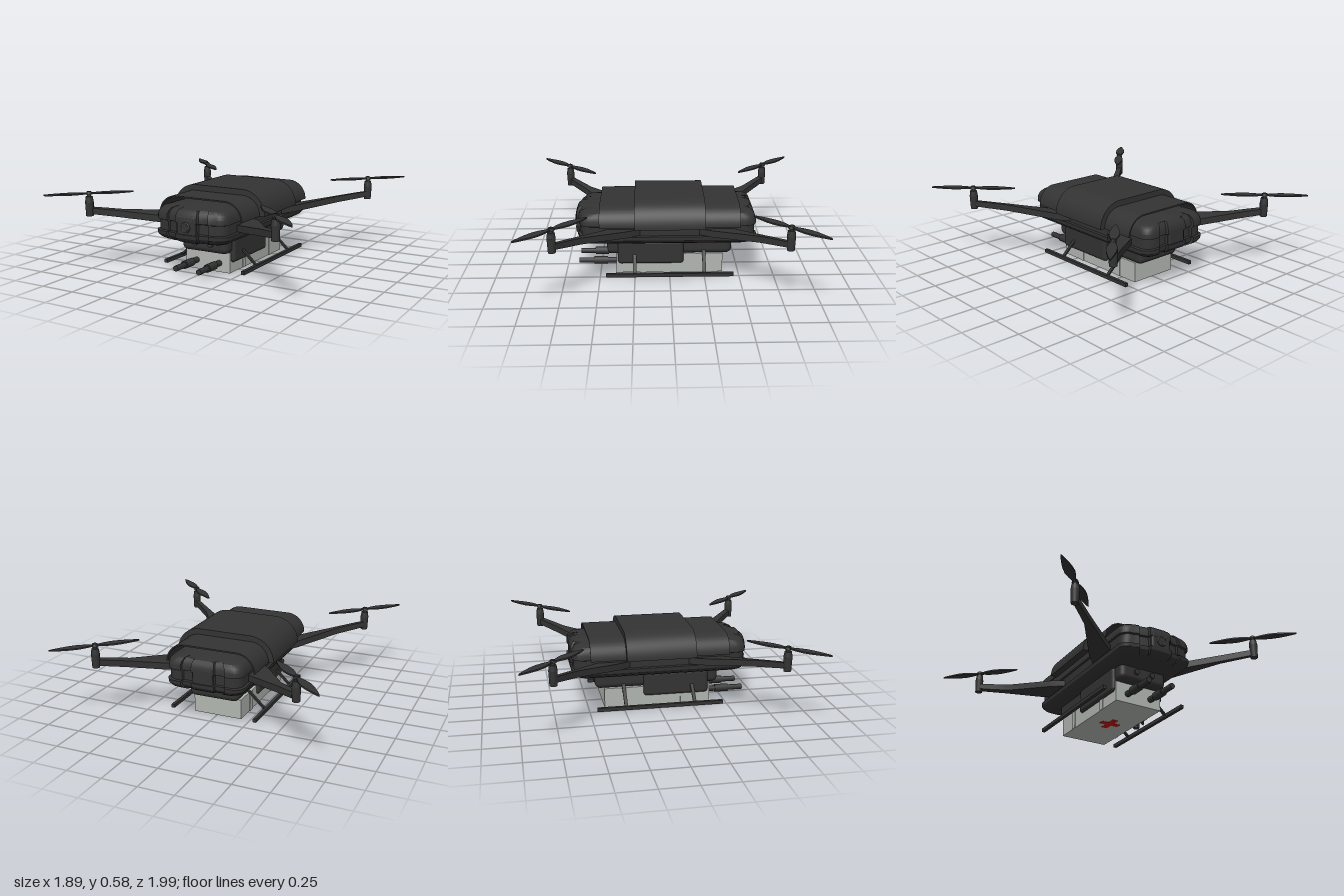
import * as THREE from 'three';
import { toCreasedNormals } from 'three/addons/utils/BufferGeometryUtils.js';
import { RoundedBoxGeometry } from 'three/addons/geometries/RoundedBoxGeometry.js';

// Skin a list of closed rings (arrays of Vector3) and cap both ends
function loft(rings, flip = false, crease = 0.5) {
  const pos = [];
  const tri = (a, b, c) => (flip ? [a, c, b] : [a, b, c]).forEach((p) => pos.push(p.x, p.y, p.z));
  const n = rings[0].length, last = rings[rings.length - 1];
  const centre = (r) => r.reduce((s, p) => s.add(p), new THREE.Vector3()).divideScalar(n);
  const c0 = centre(rings[0]), c1 = centre(last);
  for (let j = 0; j < n; j++) {
    const k = (j + 1) % n;
    for (let i = 0; i + 1 < rings.length; i++) {
      const a = rings[i], b = rings[i + 1];
      tri(a[j], a[k], b[k]);
      tri(a[j], b[k], b[j]);
    }
    tri(c0, rings[0][k], rings[0][j]);
    tri(c1, last[j], last[k]);
  }
  const g = new THREE.BufferGeometry();
  g.setAttribute('position', new THREE.Float32BufferAttribute(pos, 3));
  g.computeVertexNormals();
  return toCreasedNormals(g, crease);
}

// Quarter of the hull plan, from the centre line out to the side, with one groove
function planQuarter(zEnd, bulge) {
  const z = (x) => zEnd - bulge * x * x;
  const pts = [[0.05, z(0.05)], [0.085, z(0.085)], [0.09, z(0.09) - 0.018],
    [0.16, z(0.16) - 0.018], [0.165, z(0.165)]];
  const r = 0.075, cx = 0.285 - r, cz = z(cx) - r;
  for (let i = 0; i <= 5; i++) {
    const a = (i / 5) * Math.PI / 2;
    pts.push([cx + r * Math.sin(a), cz + r * Math.cos(a)]);
  }
  return pts;
}

function hullGeometry() {
  const front = planQuarter(0.68, 0.9), rear = planQuarter(0.618, 0).map(([x, z]) => [x, -z]);
  const right = [...front, ...rear.reverse()];
  const plan = [...right, ...right.map(([x, z]) => [-x, z]).reverse()];
  // Height and inset of each level: lower lip, recessed waist, domed top
  const levels = [[0.247, 0.08], [0.252, 0.05], [0.268, 0.02], [0.29, 0.003], [0.317, 0],
    [0.322, 0.015], [0.39, 0.015], [0.395, 0.004], [0.43, 0.004], [0.46, 0.015], [0.48, 0.035], [0.49, 0.075]];
  return loft(levels.map(([y, d]) => plan.map(([x, z]) =>
    new THREE.Vector3(x * (1 - d / 0.285), y, z * (1 - d / 0.65)))));
}

// Arched cover open underneath, running along z
function archGeometry(halfW, top, thick, length) {
  const base = 0.4, r = top - base, c = halfW - r, s = new THREE.Shape();
  s.moveTo(halfW, base);
  s.absarc(c, base, r, 0, Math.PI / 2, false);
  s.absarc(-c, base, r, Math.PI / 2, Math.PI, false);
  s.lineTo(-halfW + thick, base);
  s.absarc(-c, base, r - thick, Math.PI, Math.PI / 2, true);
  s.absarc(c, base, r - thick, Math.PI / 2, 0, true);
  const g = new THREE.ExtrudeGeometry(s, { depth: length, bevelEnabled: false, curveSegments: 12 });
  return toCreasedNormals(g.translate(0, 0, -length / 2), 0.5);
}

// Two-bladed propeller lying flat, along x
function propellerGeometry() {
  const half = [[0.03, 0.014], [0.07, 0.026], [0.12, 0.034], [0.18, 0.031], [0.25, 0.018], [0.295, 0.007]];
  const mirror = (p, sx, sy) => p.map(([x, y]) => new THREE.Vector2(sx * x, sy * y));
  const s = new THREE.Shape([
    ...mirror(half, 1, -1), new THREE.Vector2(0.31, 0), ...mirror(half, 1, 1).reverse(),
    ...mirror(half, -1, 1), new THREE.Vector2(-0.31, 0), ...mirror(half, -1, -1).reverse()]);
  const g = new THREE.ExtrudeGeometry(s, { depth: 0.01, bevelEnabled: false });
  return g.translate(0, 0, -0.005).rotateX(-Math.PI / 2);
}

export function createModel() {
  const model = new THREE.Group();
  model.name = 'drone';
  const mat = (name, color) => Object.assign(new THREE.MeshStandardMaterial({ color }), { name });
  const dark = mat('charcoal', 0x333333);
  const grey = mat('lightGrey', 0xb2b6b1);
  const red = mat('red', 0xc41414);

  const add = (name, geo, material, x = 0, y = 0, z = 0, parent = model) => {
    const m = new THREE.Mesh(geo, material);
    m.name = name;
    m.position.set(x, y, z);
    parent.add(m);
    return m;
  };
  const rod = (r, len, sides = 16, r2 = r) => new THREE.CylinderGeometry(r2, r, len, sides);
  const rodZ = (r, len, sides = 16) => rod(r, len, sides).rotateX(Math.PI / 2);
  const rbox = (w, h, d, r) => new RoundedBoxGeometry(w, h, d, 3, r);

  // Hull and arched covers
  add('hull', hullGeometry(), dark);
  add('longCover', archGeometry(0.333, 0.535, 0.01, 0.988), dark);
  add('centreBand', archGeometry(0.37, 0.577, 0.052, 0.494), dark);

  // Nose camera and raised nose panel
  add('nosePanel', rbox(0.15, 0.15, 0.06, 0.015), dark, 0, 0.37, 0.643);
  add('cameraRing', new THREE.TorusGeometry(0.03, 0.007, 8, 24), dark, 0, 0.367, 0.674);
  add('cameraLens', rodZ(0.026, 0.02, 24), dark, 0, 0.367, 0.67);
  add('tailPanel', rbox(0.15, 0.12, 0.05, 0.015), dark, 0, 0.37, -0.59);

  // Belly housing, side tank and forward sensors
  add('belly', rbox(0.37, 0.14, 0.9, 0.04), dark, 0, 0.215, 0);
  add('tank', rbox(0.412, 0.18, 0.475, 0.025), dark, 0, 0.168, 0.135);
  for (const s of [-1, 1]) add('sensor', rodZ(0.02, 0.03), dark, s * 0.062, 0.212, 0.453);

  // Cargo box with straps and a cross underneath
  add('cargoBox', new THREE.BoxGeometry(0.36, 0.145, 0.77), grey, -0.005, 0.0745, 0);
  for (const z of [0.19, -0.21]) add('cargoStrap', new THREE.BoxGeometry(0.37, 0.146, 0.04), grey, -0.005, 0.075, z);
  add('crossLong', new THREE.BoxGeometry(0.045, 0.004, 0.16), red, -0.005, 0.002, 0);
  add('crossWide', new THREE.BoxGeometry(0.15, 0.004, 0.045), red, -0.005, 0.002, 0);

  // Twin barrels
  for (const x of [-0.095, 0.09]) {
    const barrel = new THREE.Group();
    barrel.name = 'barrel';
    barrel.position.set(x, 0.066, 0);
    model.add(barrel);
    add('barrelBase', rodZ(0.022, 0.08, 8), dark, 0, 0, 0.42, barrel);
    add('barrelSleeve', rodZ(0.03, 0.1, 8), dark, 0, 0, 0.5, barrel);
    add('muzzle', rodZ(0.021, 0.11, 8), dark, 0, 0, 0.602, barrel);
  }

  // Landing skids with slanted struts
  for (const s of [-1, 1]) {
    add('skid', new THREE.BoxGeometry(0.024, 0.026, 0.906), dark, s * 0.315, 0.042, 0);
    for (const z of [0.25, -0.247]) {
      const dx = -0.14, dy = 0.132;
      const strut = add('strut', new THREE.BoxGeometry(0.012, Math.hypot(dx, dy), 0.024), dark,
        s * (0.315 + dx / 2), 0.042 + dy / 2, z);
      strut.rotation.z = -s * Math.atan2(dx, dy);
    }
  }

  // Arm sections: x, inner z, outer z, mid height, thickness
  const sections = [[0.25, 0.19, 0.435, 0.345, 0.045], [0.345, 0.29, 0.505, 0.36, 0.048],
    [0.56, 0.6, 0.665, 0.4, 0.046], [0.66, 0.69, 0.745, 0.418, 0.044], [0.73, 0.75, 0.8, 0.43, 0.04]];
  const propeller = propellerGeometry();
  for (const sx of [-1, 1]) for (const sz of [-1, 1]) {
    const rings = sections.map(([x, z0, z1, y, t]) =>
      [[-1, z0], [1, z0], [1, z1], [-1, z1]].map(([k, z]) => new THREE.Vector3(sx * x, y + k * t / 2, sz * z)));
    add('arm', loft(rings, sx * sz < 0, 0.3), dark);
    const rotor = new THREE.Group();
    rotor.name = 'rotor';
    rotor.position.set(sx * 0.727, 0, sz * 0.777);
    model.add(rotor);
    add('motor', rod(0.026, 0.1, 20, 0.03), dark, 0, 0.44, 0, rotor);
    add('motorCap', rod(0.03, 0.04, 20, 0.024), dark, 0, 0.508, 0, rotor);
    add('shaft', rod(0.014, 0.05), dark, 0, 0.538, 0, rotor);
    add('hub', rod(0.024, 0.018, 20, 0.018), dark, 0, 0.551, 0, rotor);
    add('propeller', propeller, dark, 0, 0.549, 0, rotor).rotation.y = Math.atan2(-sz, sx);
  }
  return model;
}
